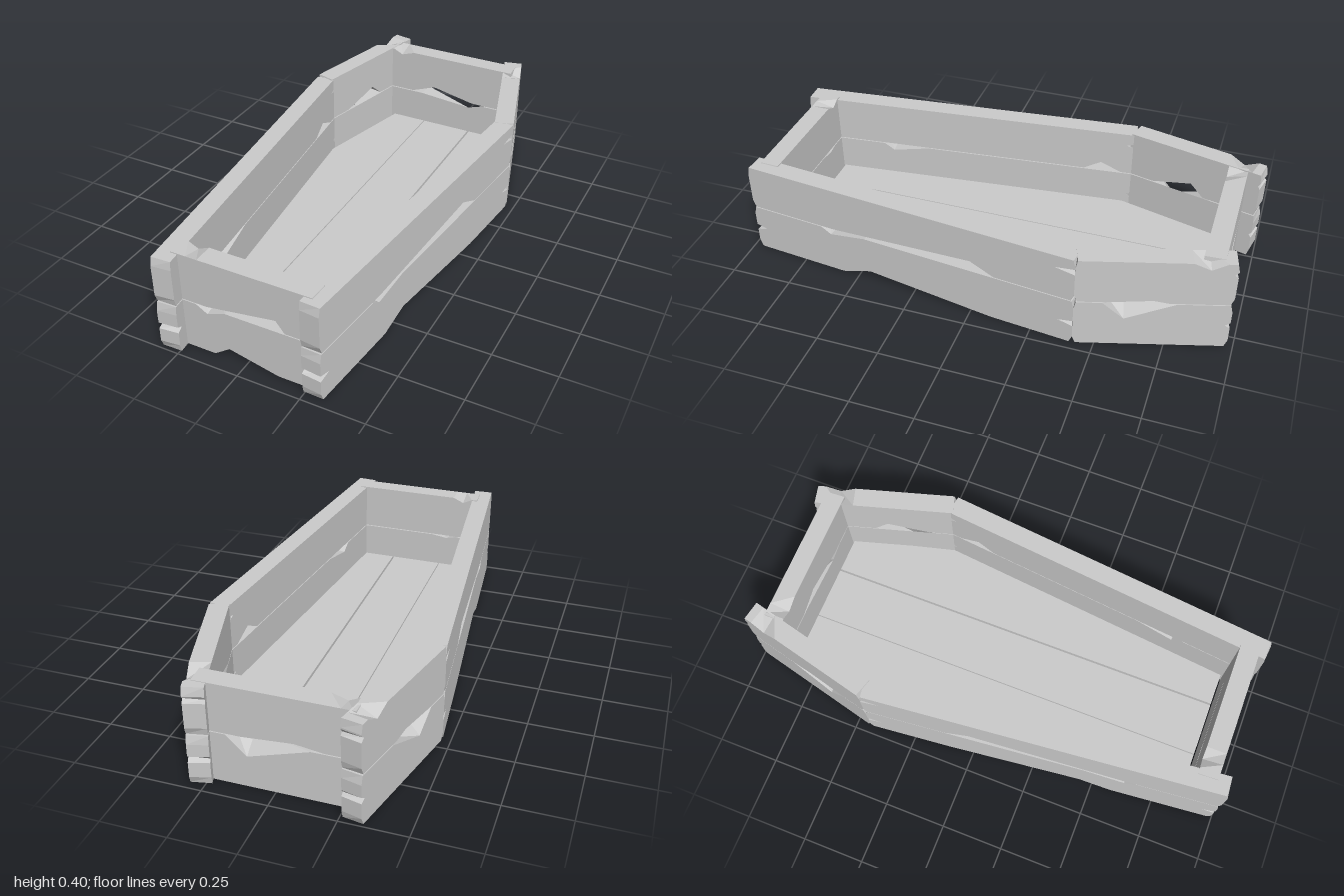
import * as THREE from 'three';

const wood = new THREE.MeshStandardMaterial({ color: 0xcccccc });
wood.name = 'greyWood';
const THICKNESS = 0.078;

// One plank edge: chips are [start, middle, end] fractions with outer and inner depth.
// Points pair an outer and an inner position along (u) and up (v).
function chippedEdge(chips, L, y, sign) {
  return chips.flatMap(({ at: [a, m, b], out = 0, inn = 0 }) => [
    { u: a * L, v: y, iu: a * L, iv: y },
    { u: m * L, v: y + sign * out, iu: m * L, iv: y + sign * inn },
    { u: b * L, v: y, iu: b * L, iv: y },
  ]);
}

// One plank end with worn corners and an optional split at a height
function wornEnd(u, dir, y0, y1, split) {
  const point = (du, v) => ({ u: u + dir * du, v, iu: u + dir * du * 0.5, iv: v });
  const row = [point(0.012, y0), point(0, y0 + 0.03)];
  if (split) {
    const { y, depth } = split;
    row.push(point(0, y - 0.013), point(depth, y), point(0, y + 0.013));
  }
  row.push(point(0, y1 - 0.035), point(0.008, y1));
  return row;
}

// Solid plank standing on the plan line from a to b, outside on its right hand
function plank(name, a, b, y0, y1, { bottom = [], top = [], start, end }) {
  const L = a.distanceTo(b);
  const dir = b.clone().sub(a).normalize();
  const inward = new THREE.Vector2(dir.y, -dir.x).multiplyScalar(THICKNESS);
  const pts = [
    ...chippedEdge(bottom, L, y0, 1),
    ...wornEnd(L, -1, y0, y1, end),
    ...chippedEdge(top, L, y1, -1).reverse(),
    ...wornEnd(0, 1, y0, y1, start).reverse(),
  ];
  const place = (u, v, w) => [a.x + dir.x * u + inward.x * w, v, a.y + dir.y * u + inward.y * w];
  const outer = pts.map(p => place(p.u, p.v, 0));
  const inner = pts.map(p => place(p.iu, p.iv, 1));
  const outerFace = pts.map(p => new THREE.Vector2(p.u, p.v));
  const innerFace = pts.map(p => new THREE.Vector2(p.iu, p.iv));
  const pos = [];
  const tri = (p, q, r) => pos.push(...p, ...q, ...r);
  for (const [i, j, k] of THREE.ShapeUtils.triangulateShape(outerFace, [])) tri(outer[i], outer[j], outer[k]);
  for (const [i, j, k] of THREE.ShapeUtils.triangulateShape(innerFace, [])) tri(inner[i], inner[k], inner[j]);
  pts.forEach((_, i) => {
    const j = (i + 1) % pts.length;
    tri(outer[i], inner[i], inner[j]);
    tri(outer[i], inner[j], outer[j]);
  });
  const g = new THREE.BufferGeometry();
  g.setAttribute('position', new THREE.Float32BufferAttribute(pos, 3));
  g.computeVertexNormals();
  const mesh = new THREE.Mesh(g, wood);
  mesh.name = name;
  return mesh;
}

// Two courses of planks, one above the other
function wall(name, a, b, height, lower, upper) {
  const group = new THREE.Group();
  group.name = name;
  group.add(plank('lowerPlank', a, b, 0.005, 0.208, lower));
  group.add(plank('upperPlank', a, b, 0.212, height, upper));
  return group;
}

// The same wear read from the other end, for the left side
function flipped({ bottom = [], top = [], start, end }) {
  const flip = chips => chips.map(c => ({ ...c, at: c.at.map(f => 1 - f).reverse() })).reverse();
  return { bottom: flip(bottom), top: flip(top), start: end, end: start };
}

function floorBoard(name, plan) {
  const shape = new THREE.Shape(plan.map(([x, z]) => new THREE.Vector2(x, -z)));
  const g = new THREE.ExtrudeGeometry(shape, { depth: 0.04, bevelEnabled: false });
  g.rotateX(-Math.PI / 2).translate(0, 0.025, 0);
  const mesh = new THREE.Mesh(g, wood);
  mesh.name = name;
  return mesh;
}

export function createModel() {
  const model = new THREE.Group();
  model.name = 'openCoffin';
  const at = (x, z) => new THREE.Vector2(x, z);

  // Foot and head boards
  model.add(wall('footBoard', at(-0.285, 0.937), at(0.285, 0.937), 0.408,
    { bottom: [{ at: [0.27, 0.38, 0.73], out: 0.045 }], top: [{ at: [0.16, 0.24, 0.37], out: 0.028, inn: 0.01 }] },
    { bottom: [{ at: [0.24, 0.73, 0.79], out: 0.045 }], top: [{ at: [0.05, 0.12, 0.2], inn: 0.02 }] }));
  model.add(wall('headBoard', at(0.3, -0.925), at(-0.3, -0.925), 0.407,
    { top: [{ at: [0.2, 0.33, 0.72], out: 0.075, inn: 0.02 }] },
    { bottom: [{ at: [0.3, 0.62, 0.8], out: 0.015, inn: 0.04 }], top: [{ at: [0.8, 0.9, 0.97], inn: 0.02 }] }));

  // Long sides and angled head sides, worn alike on both hands
  const longLower = {
    bottom: [{ at: [0.29, 0.38, 0.76], out: 0.042 }],
    top: [{ at: [0.23, 0.26, 0.37], out: 0.025, inn: 0.03 }],
    start: { y: 0.105, depth: 0.05 }, end: { y: 0.1, depth: 0.06 },
  };
  const longUpper = {
    bottom: [{ at: [0.27, 0.7, 0.77], out: 0.045 }, { at: [0.85, 0.9, 0.96], inn: 0.04 }],
    end: { y: 0.35, depth: 0.08 },
  };
  const headLower = {
    top: [{ at: [0.18, 0.32, 0.65], out: 0.075 }],
    end: { y: 0.11, depth: 0.02 },
  };
  const headUpper = {
    bottom: [{ at: [0.2, 0.5, 0.6], out: 0.012, inn: 0.05 }],
    top: [{ at: [0.72, 0.83, 0.93], out: 0.03 }],
    end: { y: 0.355, depth: 0.015 },
  };
  const foot = at(0.321, 0.975), shoulder = at(0.466, -0.42), head = at(0.303, -0.978);
  model.add(wall('rightHandLongSide', foot, shoulder, 0.404, longLower, longUpper));
  model.add(wall('rightHandHeadSide', shoulder, head, 0.405, headLower, headUpper));
  // The opposite planks run slightly longer
  const across = p => at(-p.x * 1.005, p.y * 1.02);
  const shoulder2 = at(-0.468, -0.445), head2 = at(-0.334, -0.998);
  model.add(wall('oppositeLongSide', shoulder2, across(foot), 0.404, flipped(longLower), flipped(longUpper)));
  model.add(wall('oppositeHeadSide', head2, shoulder2, 0.409, flipped(headLower), flipped(headUpper)));

  // Floor: a middle board and two outer boards following the walls
  const floor = new THREE.Group();
  floor.name = 'floor';
  floor.add(floorBoard('middleBoard', [[-0.113, 0.85], [0.109, 0.85], [0.109, -0.84], [-0.113, -0.84]]));
  for (const s of [-1, 1]) {
    const plan = [[0.117, 0.85], [0.252, 0.85], [0.382, -0.41], [0.27, -0.84], [0.117, -0.84]];
    floor.add(floorBoard(s > 0 ? 'leftBoard' : 'rightBoard', plan.map(([x, z]) => [s * x, z])));
  }
  model.add(floor);
  return model;
}
